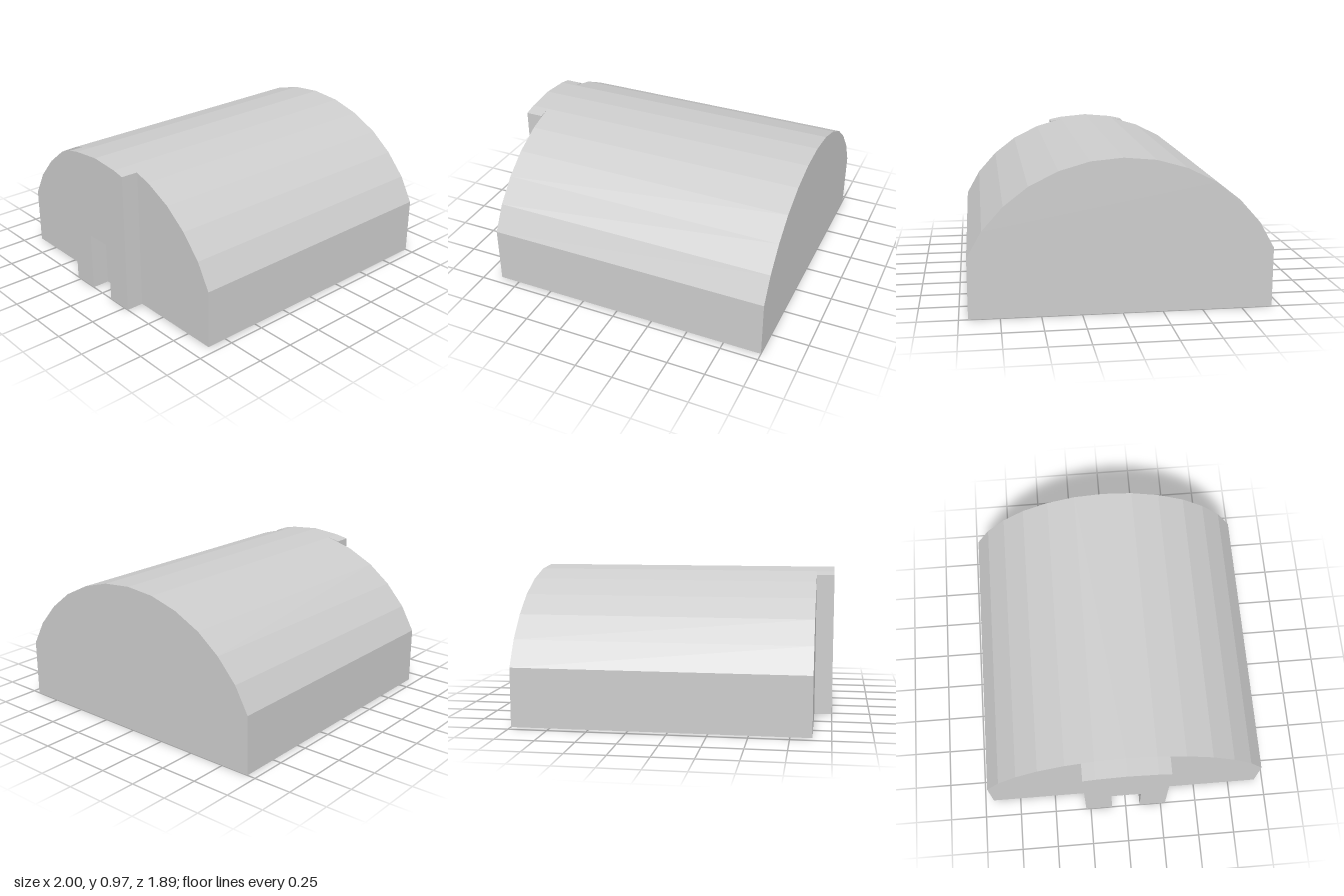
import * as THREE from 'three';

// Extrudes a z/y outline along x, from x0 to x1
function extrudeAlongX(outline, x0, x1, material, name) {
  const shape = new THREE.Shape(outline.map(([z, y]) => new THREE.Vector2(-z, y)));
  const geometry = new THREE.ExtrudeGeometry(shape, { depth: x1 - x0, bevelEnabled: false });
  geometry.rotateY(Math.PI / 2).translate(x0, 0, 0);
  const mesh = new THREE.Mesh(geometry, material);
  mesh.name = name;
  return mesh;
}

// Completes a half outline, listed from the ridge down, with its mirror image
function mirrored(half) {
  const other = half.filter(([z]) => z > 0).map(([z, y]) => [-z, y]).reverse();
  return [...other, ...half];
}

export function createModel() {
  const group = new THREE.Group();
  group.name = 'vaultedHut';
  const grey = new THREE.MeshStandardMaterial({ color: 0xcccccc });
  grey.name = 'light grey';

  // Main hall: low straight walls under a faceted vault
  const hall = mirrored([
    [0, 0.967], [0.2, 0.949], [0.39, 0.895], [0.57, 0.806],
    [0.72, 0.69], [0.85, 0.545], [0.943, 0.38], [0.943, 0],
  ]);
  group.add(extrudeAlongX(hall, -0.885, 1, grey, 'hall'));

  // Entrance porch on the end wall, with a doorway cut up from the ground
  const porch = mirrored([
    [0, 0.967], [0.2, 0.949], [0.283, 0.931], [0.283, 0], [0.1, 0], [0.1, 0.39],
  ]);
  group.add(extrudeAlongX(porch, -1, -0.885, grey, 'entrancePorch'));

  return group;
}
